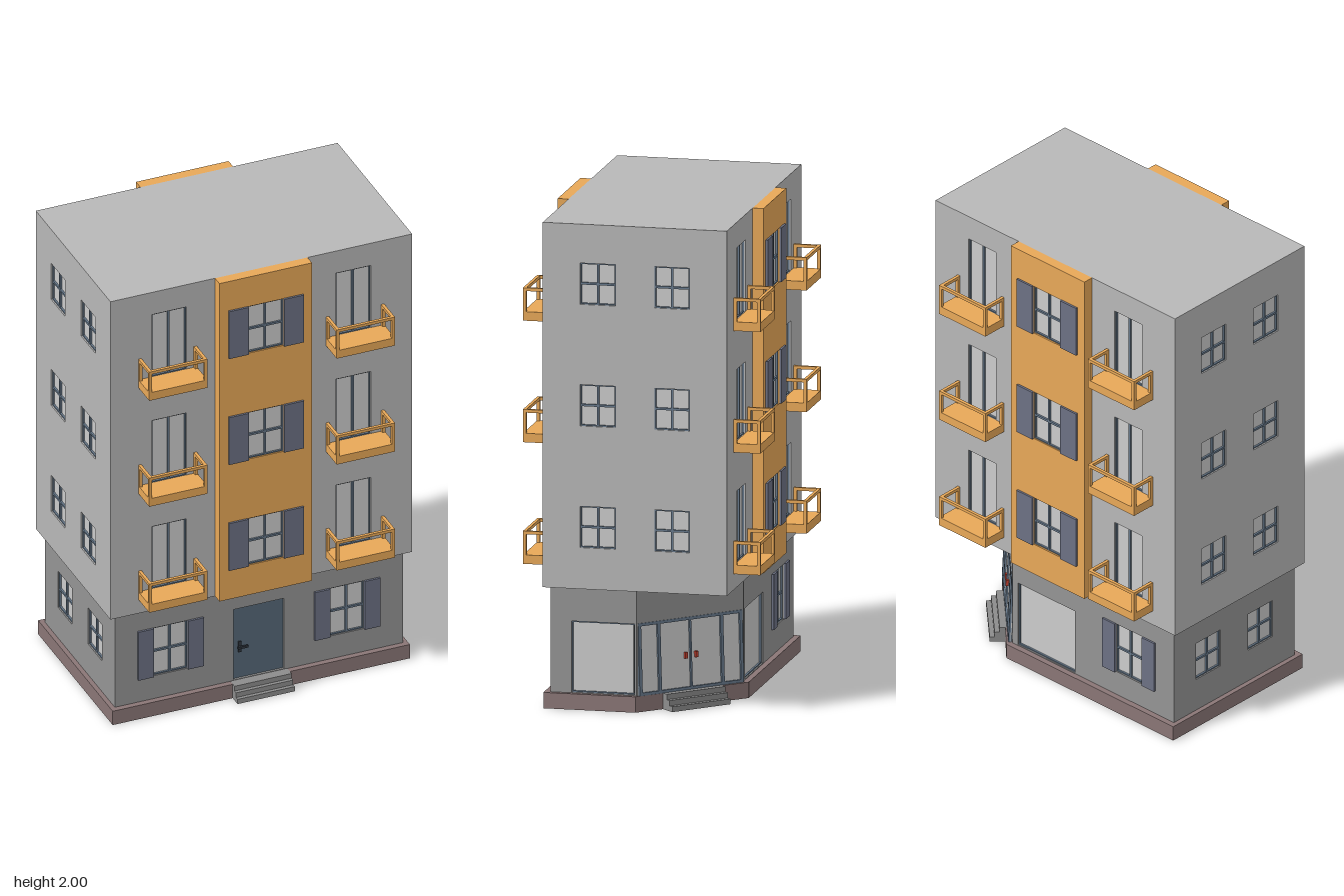
import * as THREE from 'three';

const mat = (color) => new THREE.MeshStandardMaterial({ color });
const M = {
  wall: mat(0xb8b8b8), ground: mat(0x949494), glass: mat(0xcccccc), orange: mat(0xe8a858),
  shutter: mat(0x6c7184), frame: mat(0x66788a), door: mat(0x566878), base: mat(0x8a7676),
  step: mat(0x8c8c8c), dark: mat(0x30363e), red: mat(0xc04030),
};
const RECESS = 0.02;

function add(parent, name, geo, material, x = 0, y = 0, z = 0) {
  const m = new THREE.Mesh(geo, material);
  m.name = name;
  m.position.set(x, y, z);
  parent.add(m);
  return m;
}
const box = (parent, name, material, w, h, d, x, y, z) =>
  add(parent, name, new THREE.BoxGeometry(w, h, d), material, x, y, z);

function group(parent, name, x = 0, y = 0, z = 0, ry = 0) {
  const g = new THREE.Group();
  g.name = name;
  g.position.set(x, y, z);
  g.rotation.y = ry;
  parent.add(g);
  return g;
}

// Horizontal slab from a plan outline of [x, z] points
function slab(parent, name, plan, y0, y1, material) {
  const shape = new THREE.Shape(plan.map(([x, z]) => new THREE.Vector2(x, -z)));
  const geo = new THREE.ExtrudeGeometry(shape, { depth: y1 - y0, bevelEnabled: false });
  add(parent, name, geo.rotateX(-Math.PI / 2), material, 0, y0, 0);
}

// Upright wall with rectangular holes; its outer face lies on local z = 0
function panel(parent, name, w, y0, y1, depth, openings, material) {
  const rect = (P, x0, x1, a, b) => new P([[x0, a], [x1, a], [x1, b], [x0, b]].map((p) => new THREE.Vector2(...p)));
  const shape = rect(THREE.Shape, -w / 2, w / 2, y0, y1);
  for (const o of openings)
    shape.holes.push(rect(THREE.Path, o.u - o.w / 2, o.u + o.w / 2, o.y - o.h / 2, o.y + o.h / 2));
  const geo = new THREE.ExtrudeGeometry(shape, { depth, bevelEnabled: false });
  add(parent, name, geo.translate(0, 0, -depth), material);
}

// Four thin bars around an opening
function border(g, w, h, t, z) {
  for (const s of [-1, 1]) {
    box(g, 'frameSide', M.frame, t, h, 0.008, s * (w - t) / 2, 0, z);
    box(g, 'frameRail', M.frame, w, t, 0.008, 0, s * (h - t) / 2, z);
  }
}

// Glazing set back in an opening, with optional bars and shutters
function glazing(parent, o) {
  const g = group(parent, o.name, o.u, o.y, 0);
  box(g, 'glass', M.glass, o.w, o.h, 0.006, 0, 0, -RECESS + 0.003);
  border(g, o.w, o.h, 0.005, -RECESS + 0.01);
  if (o.bars) box(g, 'upright', M.frame, 0.009, o.h, 0.008, 0, 0, -RECESS + 0.01);
  if (o.bars > 1) box(g, 'crossbar', M.frame, o.w, 0.009, 0.008, 0, 0, -RECESS + 0.01);
  if (o.shutter)
    for (const s of [-1, 1])
      box(g, 'shutter', M.shutter, o.shutter, o.h + 0.003, 0.009, s * (o.w + o.shutter) / 2, 0, 0.0045);
}

function entryDoor(parent, o) {
  const g = group(parent, 'frontDoor', o.u, o.y, 0);
  box(g, 'doorLeaf', M.door, o.w, o.h, 0.01, 0, 0, -RECESS + 0.005);
  box(g, 'handlePlate', M.dark, 0.012, 0.05, 0.006, -0.08, -0.02, -0.008);
  box(g, 'handleLever', M.dark, 0.045, 0.01, 0.008, -0.07, -0.02, 0.001);
}

// Glazed shop entrance, leaning a little outward at the foot
function shopEntrance(parent, o) {
  const g = group(parent, 'shopEntrance', o.u, o.y + o.h / 2, 0);
  g.rotation.x = -0.045;
  box(g, 'shopGlass', M.glass, o.w, o.h, 0.006, 0, -o.h / 2, -0.008);
  for (const x of [-0.5, -0.31, 0, 0.31, 0.5])
    box(g, 'shopPost', M.frame, x ? 0.014 : 0.008, o.h, 0.012, x * (o.w - 0.014), -o.h / 2, -0.003);
  for (const y of [-0.006, -o.h + 0.006])
    box(g, 'shopRail', M.frame, o.w, 0.012, 0.012, 0, y, -0.003);
  for (const s of [-1, 1])
    box(g, 'shopDoorHandle', M.red, 0.012, 0.025, 0.012, s * 0.025, -0.155, 0.002);
}

const BUILD = { door: entryDoor, shop: shopEntrance };

// Walls along every edge of a plan, each with its own list of openings
function walls(parent, name, plan, y0, y1, lists, material) {
  plan.forEach(([x, z], i) => {
    const [x2, z2] = plan[(i + 1) % plan.length];
    const g = group(parent, name, (x + x2) / 2, 0, (z + z2) / 2, Math.atan2(z - z2, x2 - x));
    panel(g, 'wall', Math.hypot(x2 - x, z2 - z), y0, y1, RECESS, lists[i], material);
    for (const o of lists[i]) (BUILD[o.kind] || glazing)(g, o);
  });
}

function steps(parent, name, w, z0, z1) {
  const g = group(parent, name);
  for (let i = 0; i < 3; i++) {
    const out = z1 - i * (z1 - z0) / 3.5;
    box(g, 'step', M.step, w, 0.022, out, 0, 0.011 + i * 0.022, out / 2);
  }
  return g;
}

function balcony(parent, x, y) {
  const g = group(parent, 'balcony', x, y, 0), w = 0.255, d = 0.11, t = 0.013;
  box(g, 'balconyFloor', M.orange, w, 0.037, d, 0, 0.0185, d / 2);
  box(g, 'frontRail', M.orange, w, t, t, 0, 0.1285, d - t / 2);
  for (const s of [-1, 1]) {
    const px = s * (w - t) / 2;
    box(g, 'sideRail', M.orange, t, t, d - t, px, 0.1285, (d - t) / 2);
    for (const z of [t / 2, d - t / 2]) box(g, 'railPost', M.orange, t, 0.085, t, px, 0.0795, z);
  }
}

export function createModel() {
  const model = new THREE.Group();
  model.name = 'apartmentBuilding';
  const floors = [0.5, 1, 1.5];

  // Plinth and ground floor, with one corner cut off for the shop
  slab(model, 'plinth', [[-0.65, 0.38], [0.65, 0.38], [0.65, 0], [0.27, -0.38], [-0.65, -0.38]], 0, 0.065, M.base);
  const shuttered = (u) => ({ name: 'shutteredWindow', u, y: 0.285, w: 0.15, h: 0.225, bars: 2, shutter: 0.068 });
  const sideWindow = (u, y) => ({ name: 'sideWindow', u, y, w: 0.145, h: 0.17, bars: 2 });
  const display = (u, w) => ({ name: 'displayWindow', u, y: 0.214, w, h: 0.292 });
  walls(model, 'groundFloor', [[-0.63, 0.355], [0.63, 0.355], [0.63, 0], [0.26, -0.355], [-0.63, -0.355]], 0.05, 0.5, [
    [shuttered(-0.387), { kind: 'door', u: 0, y: 0.234, w: 0.22, h: 0.332 }, shuttered(0.385)],
    [display(0.04, 0.26)],
    [{ kind: 'shop', u: 0, y: 0.213, w: 0.5, h: 0.296 }],
    [display(-0.2575, 0.315), shuttered(0.2)],
    [sideWindow(-0.153, 0.295), sideWindow(0.153, 0.295)],
  ], M.ground);

  // Entrance steps
  steps(model, 'frontSteps', 0.25, 0.375, 0.43);
  const shopSteps = steps(model, 'shopSteps', 0.28, 0.015, 0.085);
  shopSteps.position.set(0.445, 0, -0.178);
  shopSteps.rotation.y = Math.atan2(0.355, -0.37);

  // Upper floors
  const plan = [[-0.66, 0.38], [0.66, 0.38], [0.66, -0.38], [-0.66, -0.38]];
  const long = [], short = [];
  for (const y of floors)
    for (const s of [-1, 1]) {
      long.push({ name: 'balconyDoor', u: s * 0.403, y: y + 0.247, w: 0.152, h: 0.296, bars: 1 });
      short.push(sideWindow(s * 0.153, y + 0.255));
    }
  slab(model, 'upperFloorSlab', plan, 0.5, 0.52, M.wall);
  slab(model, 'roof', plan, 1.98, 2, M.wall);
  walls(model, 'upperFloors', plan, 0.52, 1.98, [long, short, long, short], M.wall);

  // Coloured bay and balconies on front and back
  for (const ry of [0, Math.PI]) {
    const facade = group(model, ry ? 'backFacade' : 'frontFacade', 0, 0, 0, ry);
    const bay = group(facade, 'bay', 0, 0, 0.425);
    const openings = floors.map((y) =>
      ({ name: 'bayWindow', u: 0, y: y + 0.251, w: 0.155, h: 0.22, bars: 2, shutter: 0.086 }));
    panel(bay, 'bayWall', 0.405, 0.5, 2, 0.045, openings, M.orange);
    openings.forEach((o) => glazing(bay, o));
    for (const y of floors)
      for (const s of [-1, 1]) {
        const b = group(facade, 'balconyMount', 0, 0, 0.38);
        balcony(b, s * 0.41, y + 0.065);
      }
  }
  return model;
}
